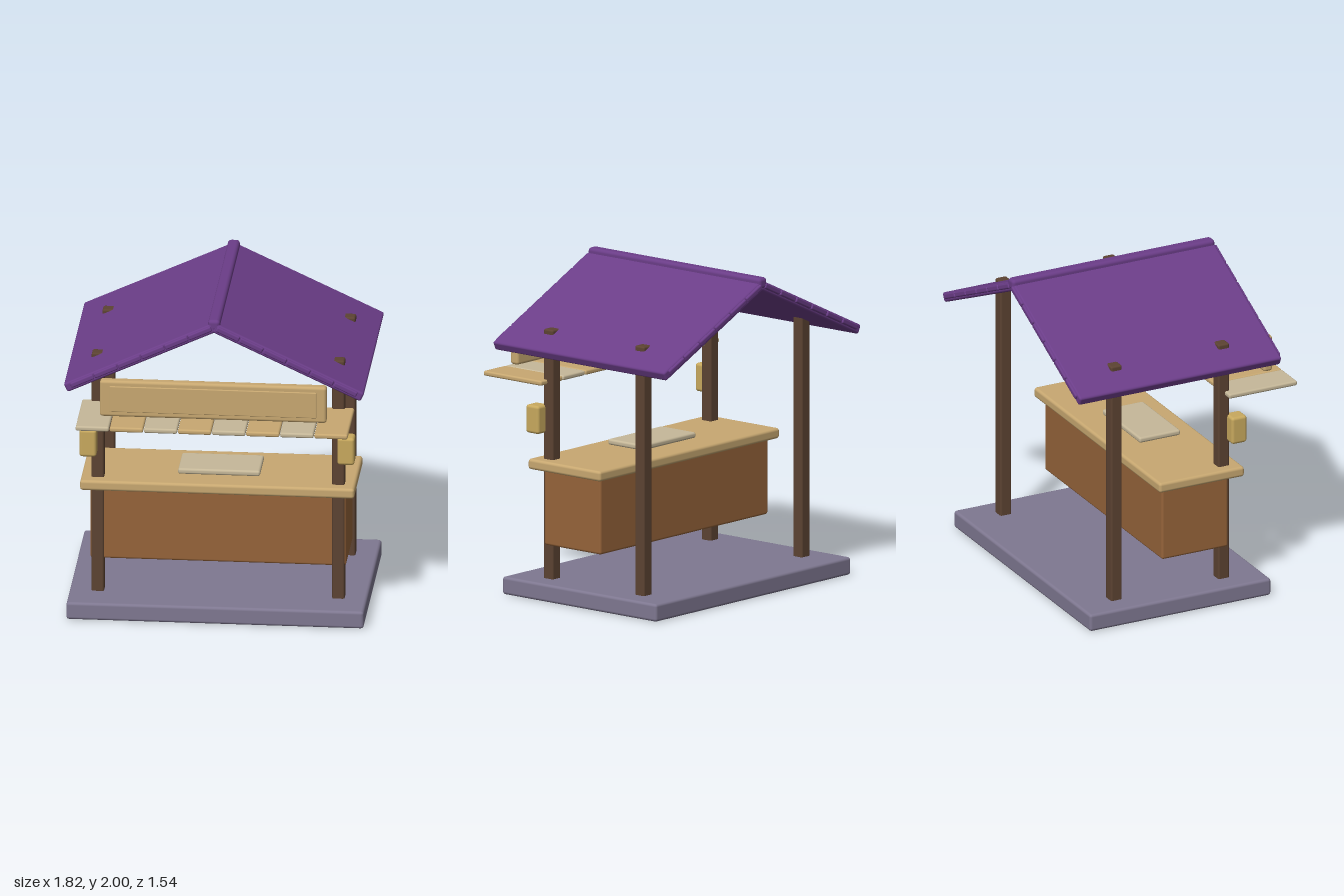
import * as THREE from 'three';
import { RoundedBoxGeometry } from 'three/addons/geometries/RoundedBoxGeometry.js';

const material = (name, color) => {
  const m = new THREE.MeshStandardMaterial({ color });
  m.name = name;
  return m;
};

export function createModel() {
  const stone = material('grey stone', 0x7f7891);
  const darkWood = material('dark wood', 0x5c4332);
  const brownWood = material('brown wood', 0x96643a);
  const lightWood = material('light wood', 0xc8a871);
  const paleWood = material('pale wood', 0xc6b899);
  const purple = material('purple roofing', 0x6b3d88);
  const amber = material('amber glass', 0xc8a95e);

  const model = new THREE.Group();
  model.name = 'marketStall';

  // Bevelled box given by its min and max corners
  function block(name, mat, min, max, radius = 0.012, parent = model) {
    const size = max.map((v, i) => v - min[i]);
    const mesh = new THREE.Mesh(new RoundedBoxGeometry(...size, 2, radius), mat);
    mesh.position.set(...min.map((v, i) => (v + max[i]) / 2));
    mesh.name = name;
    parent.add(mesh);
    return mesh;
  }

  // Floor slab and counter
  block('base', stone, [-0.905, 0, -0.685], [0.905, 0.11, 0.55], 0.018);
  block('counterBody', brownWood, [-0.778, 0.318, -0.13], [0.778, 0.79, 0.322], 0.015);
  block('counterTop', lightWood, [-0.835, 0.785, -0.175], [0.835, 0.85, 0.405], 0.018);
  block('tray', paleWood, [-0.25, 0.86, -0.01], [0.25, 0.896, 0.27], 0.014);

  // Posts, whose tips just break through the roof, and lamps on the front pair
  for (const side of [-1, 1]) {
    const x = side * 0.732;
    for (const [name, z] of [['frontPost', 0.297], ['backPost', -0.434]]) {
      block(name, darkWood, [x - 0.038, 0.1, z - 0.038], [x + 0.038, 1.655, z + 0.038]);
    }
    const lx = side * 0.785;
    block('lamp', amber, [lx - 0.052, 1.01, 0.318], [lx + 0.052, 1.185, 0.422], 0.018);
  }

  // Sign board with a raised blank panel
  block('signBoard', lightWood, [-0.69, 1.375, 0.61], [0.69, 1.608, 0.672], 0.018);
  block('signPanel', lightWood, [-0.63, 1.41, 0.66], [0.63, 1.575, 0.68], 0.005);

  // Row of awning slats in alternating woods
  const awning = new THREE.Group();
  awning.name = 'awning';
  model.add(awning);
  for (let i = 0; i < 8; i++) {
    const x = -0.727 + i * 0.2075;
    block('awningSlat', i % 2 ? lightWood : paleWood,
      [x - 0.102, 1.312, 0.303], [x + 0.102, 1.343, 0.768], 0.012, awning);
  }

  // Two roof slopes, each a slab with shingle rows showing at the gable ends
  const pitch = THREE.MathUtils.degToRad(25);
  for (const side of [-1, 1]) {
    const slope = new THREE.Group();
    slope.name = side < 0 ? 'rightRoofSlope' : 'leftRoofSlope';
    slope.position.y = 1.951;
    slope.rotation.z = -side * pitch;
    model.add(slope);
    const along = (name, a, b, y0, y1, z0, z1, r) => block(name, purple,
      [Math.min(side * a, side * b), y0, z0], [Math.max(side * a, side * b), y1, z1], r, slope);
    along('roofSlab', 0, 0.997, -0.03, 0.03, -0.758, 0.618, 0.014);
    for (let i = 0; i < 6; i++) {
      const a = 0.015 + i * 0.158;
      along('shingleRow', a, a + 0.154, -0.012, 0.022, -0.77, 0.63, 0.01);
    }
  }
  block('ridgeCap', purple, [-0.037, 1.93, -0.765], [0.037, 2.0, 0.617], 0.022);

  return model;
}
